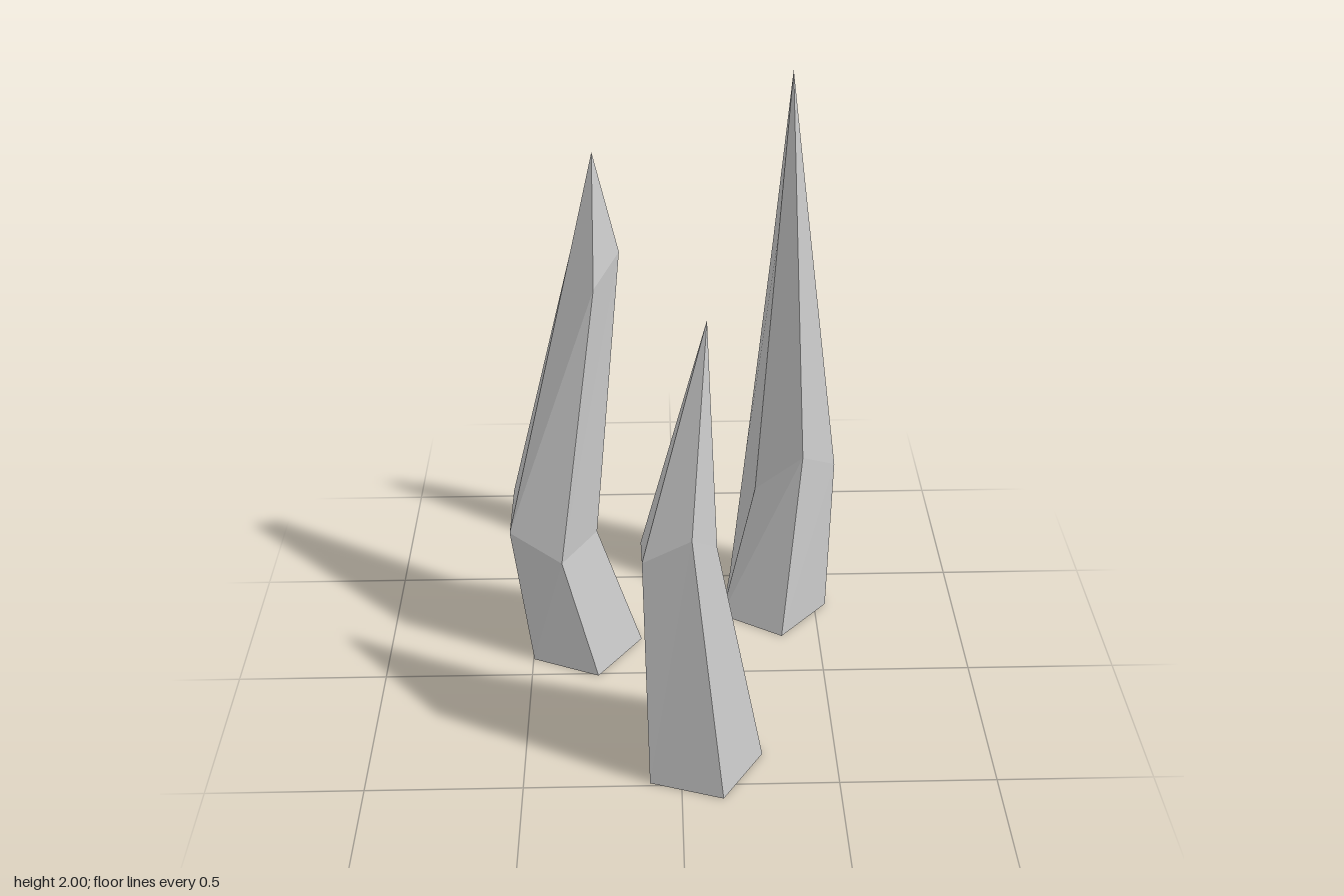
import * as THREE from 'three';

const material = new THREE.MeshStandardMaterial({ color: 0xcccccc, flatShading: true });

// Closed faceted spike: five-cornered rings from the ground up, ending in a tip.
// Ring corners run counter-clockwise seen from above.
function spike(name, rings, tip) {
  const pos = [];
  const tri = (a, b, c) => pos.push(...a, ...b, ...c);
  const n = rings[0].length;
  const base = rings[0], top = rings[rings.length - 1];
  for (let i = 0; i < n; i++) {
    const j = (i + 1) % n;
    for (let k = 0; k < rings.length - 1; k++) {
      const lo = rings[k], hi = rings[k + 1];
      tri(lo[i], lo[j], hi[j]);
      tri(lo[i], hi[j], hi[i]);
    }
    tri(top[i], top[j], tip);
    if (i > 0 && i < n - 1) tri(base[0], base[j], base[i]);
  }
  const geometry = new THREE.BufferGeometry();
  geometry.setAttribute('position', new THREE.Float32BufferAttribute(pos, 3));
  geometry.computeVertexNormals();
  const mesh = new THREE.Mesh(geometry, material);
  mesh.name = name;
  return mesh;
}

export function createModel() {
  const group = new THREE.Group();
  group.name = 'rockSpikes';

  // Bent spike on the right
  group.add(spike('bentSpike', [
    [[-0.273, 0, 0.01], [-0.125, 0, -0.17], [-0.25, 0, -0.37], [-0.48, 0, -0.31], [-0.497, 0, -0.075]],
    [[-0.377, 0.49, -0.007], [-0.265, 0.52, -0.135], [-0.36, 0.59, -0.283], [-0.54, 0.61, -0.245], [-0.545, 0.57, -0.07]],
    [[-0.245, 1.46, -0.088], [-0.17, 1.53, -0.188], [-0.245, 1.68, -0.252], [-0.253, 1.65, -0.252], [-0.31, 1.55, -0.162]],
  ], [-0.24, 1.845, -0.19]));

  // Short spike at the front
  group.add(spike('shortSpike', [
    [[0.263, 0, 0.375], [0.13, 0, 0.18], [-0.087, 0, 0.245], [-0.1, 0, 0.49], [0.13, 0, 0.557]],
    [[0.1, 0.92, 0.435], [0.025, 0.865, 0.31], [-0.117, 0.88, 0.36], [-0.113, 0.92, 0.5], [0.025, 1.03, 0.54]],
  ], [0.065, 1.635, 0.38]));

  // Tall spike at the back left
  group.add(spike('tallSpike', [
    [[0.37, 0, -0.172], [0.54, 0, -0.336], [0.47, 0, -0.558], [0.205, 0, -0.52], [0.163, 0, -0.285]],
    [[0.418, 0.715, -0.262], [0.54, 0.61, -0.367], [0.42, 0.64, -0.527], [0.243, 0.5, -0.509], [0.27, 0.535, -0.333]],
    [[0.371, 1.49, -0.344], [0.4, 1.58, -0.389], [0.338, 1.69, -0.473], [0.31, 1.4, -0.49], [0.316, 1.49, -0.375]],
  ], [0.34, 2, -0.398]));

  return group;
}
